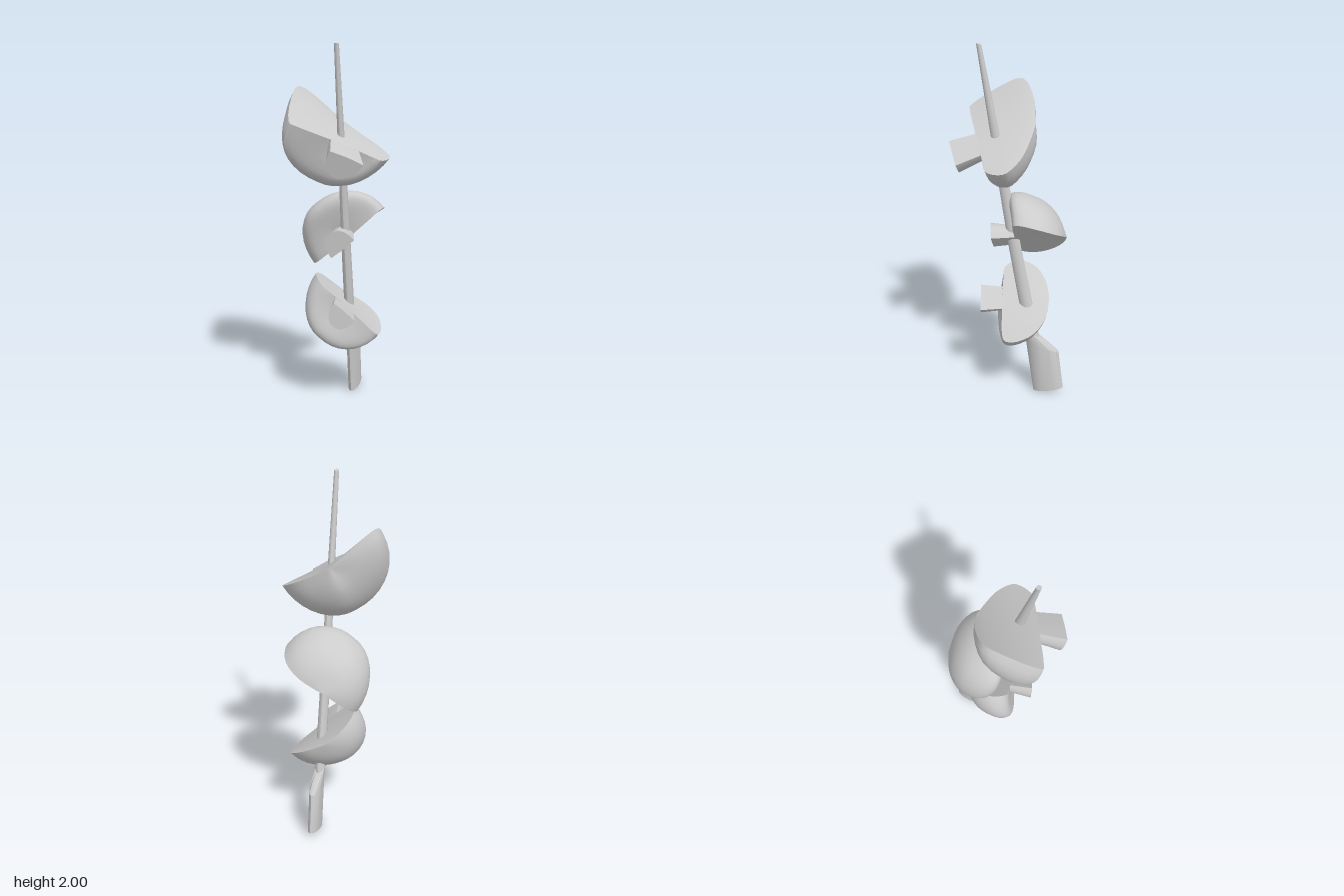
import * as THREE from 'three';
import { toCreasedNormals } from 'three/addons/utils/BufferGeometryUtils.js';

const material = new THREE.MeshStandardMaterial({ color: 0xcccccc });
const V = (x, y, z) => new THREE.Vector3(x, y, z);

// Cap profiles as [radius, position along the stem axis], for the narrow side,
// the middle of the round back and the wide side
const CAPS = {
  boxy: {
    narrow: [[0.08, 0], [0.14, 0.005], [0.2, 0.016], [0.25, -0.03], [0.262, -0.09], [0.2, -0.175], [0.11, -0.24], [0, -0.305]],
    middle: [[0.1, 0], [0.15, 0.005], [0.23, 0], [0.277, -0.04], [0.277, -0.1], [0.22, -0.2], [0.12, -0.28], [0, -0.305]],
    wide: [[0.08, 0], [0.16, 0.006], [0.27, 0.003], [0.315, -0.02], [0.325, -0.18], [0.295, -0.32], [0.15, -0.34], [0, -0.305]],
  },
  round: {
    narrow: [[0.08, 0], [0.14, 0], [0.22, -0.01], [0.265, -0.07], [0.27, -0.15], [0.22, -0.24], [0.12, -0.3], [0, -0.32]],
    middle: [[0.1, 0], [0.16, 0.015], [0.25, 0.03], [0.295, 0], [0.295, -0.08], [0.24, -0.2], [0.14, -0.28], [0, -0.32]],
    wide: [[0.08, 0], [0.16, 0.006], [0.26, 0.003], [0.31, -0.02], [0.32, -0.1], [0.275, -0.21], [0.16, -0.29], [0, -0.32]],
  },
};

// Stem end followed by a smooth cap profile
function profile(stemRadius, cap) {
  const curve = new THREE.SplineCurve(cap.map(p => new THREE.Vector2(...p)));
  return [new THREE.Vector2(0, 0.152), new THREE.Vector2(stemRadius, 0.152), ...curve.getPoints(21)];
}

function geometryFrom(triangles, flip, crease) {
  const pos = [];
  for (const [a, b, c] of triangles) {
    for (const p of flip ? [a, c, b] : [a, b, c]) pos.push(p.x, p.y, p.z);
  }
  const g = new THREE.BufferGeometry();
  g.setAttribute('position', new THREE.Float32BufferAttribute(pos, 3));
  return toCreasedNormals(g, crease);
}

// Half mushroom: local x across the cut, y out of the cut face, z along the stem
function halfMushroom(name, { origin, axis, across, scale, cap, mirrored = false }) {
  const narrow = profile(0.093, cap.narrow);
  const middle = profile(0.13, cap.middle);
  const wide = profile(0.093, cap.wide);
  const a = axis.clone().normalize();
  const t = across.clone().addScaledVector(a, -across.dot(a)).normalize();
  const n = V().crossVectors(a, t).multiplyScalar(mirrored ? -1 : 1);
  // The cut is slightly warped: twisted on the wide side, raised on the narrow side
  const warp = (x, z) => (x < 0 ? 0.95 * x * (Math.min(z, 0) + 0.15) : 0.4 * x * x);
  const place = (x, y, z) => origin.clone()
    .addScaledVector(t, x * scale)
    .addScaledVector(n, (y + warp(x, z)) * scale)
    .addScaledVector(a, z * scale);

  // Rounded outside, swept half a turn between the three profiles
  const N = 18, rows = [], tris = [], last = middle.length - 1;
  for (let i = 0; i <= N; i++) {
    const c = Math.cos(Math.PI * i / N), s = Math.sin(Math.PI * i / N);
    const side = c > 0 ? narrow : wide;
    rows.push(middle.map((m, j) => place(side[j].x * c, -m.x * s, m.y + (side[j].y - m.y) * c * c)));
  }
  const apex = place(0, 0, middle[last].y);
  rows.forEach(row => { row[last] = apex; });
  const strip = (from, to) => {
    for (let j = 0; j < last; j++) {
      tris.push([from[j], to[j], from[j + 1]], [to[j], to[j + 1], from[j + 1]]);
    }
  };
  for (let i = 0; i < N; i++) strip(rows[i], rows[i + 1]);

  // Cut face, filled from both edges to a spine along the stem
  const spine = middle.map((m, j) => place(0, 0, (narrow[j].y + wide[j].y) / 2));
  spine[last] = apex;
  strip(rows[N], spine);
  strip(spine, rows[0]);

  const solid = tris.filter(([p, q, r]) => new THREE.Triangle(p, q, r).getArea() > 1e-8);
  const mesh = new THREE.Mesh(geometryFrom(solid, mirrored, 0.7), material);
  mesh.name = name;
  return mesh;
}

// Tapered skewer widening into a flat paddle handle:
// each section is [front z, front y, back z, back y, half width]
function skewer() {
  const sections = [
    [-0.147, 0, -0.32, 0.04, 0.032],
    [-0.1, 0.33, -0.29, 0.275, 0.032],
    [-0.085, 0.42, -0.178, 0.355, 0.028],
    [0, 0.9, -0.072, 0.89, 0.025],
    [0.1, 1.55, 0.05, 1.545, 0.018],
    [0.167, 2, 0.141, 1.996, 0.013],
  ];
  const N = 12, x0 = 0.028, tris = [];
  const rings = sections.map(([fz, fy, bz, by, w]) => Array.from({ length: N }, (_, i) => {
    const u = 2 * Math.PI * i / N, k = (1 + Math.cos(u)) / 2;
    return V(x0 + w * Math.sin(u), by + (fy - by) * k, bz + (fz - bz) * k);
  }));
  for (let s = 0; s < rings.length - 1; s++) {
    for (let i = 0; i < N; i++) {
      const j = (i + 1) % N, lo = rings[s], hi = rings[s + 1];
      tris.push([lo[i], lo[j], hi[j]], [lo[i], hi[j], hi[i]]);
    }
  }
  const top = rings[rings.length - 1], bottom = rings[0];
  for (let i = 1; i < N - 1; i++) {
    tris.push([top[0], top[i], top[i + 1]], [bottom[0], bottom[i + 1], bottom[i]]);
  }
  const mesh = new THREE.Mesh(geometryFrom(tris, false, 0.6), material);
  mesh.name = 'skewer';
  return mesh;
}

export function createModel() {
  const group = new THREE.Group();
  group.name = 'mushroomSkewer';
  group.add(
    skewer(),
    halfMushroom('topMushroom', {
      origin: V(0.072, 1.49, 0.142), axis: V(0.32, -0.3, 0.9), across: V(0.77, -0.495, -0.4),
      scale: 1, cap: CAPS.boxy,
    }),
    halfMushroom('middleMushroom', {
      origin: V(0.015, 0.925, -0.04), axis: V(0.22, -0.1, 0.97), across: V(-0.78, -0.55, 0.1),
      scale: 0.86, cap: CAPS.round,
    }),
    halfMushroom('bottomMushroom', {
      origin: V(0.04, 0.585, 0.03), axis: V(0.25, 0.02, 0.97), across: V(-0.78, 0.6, 0.19),
      scale: 0.81, cap: CAPS.round, mirrored: true,
    }),
  );
  return group;
}
